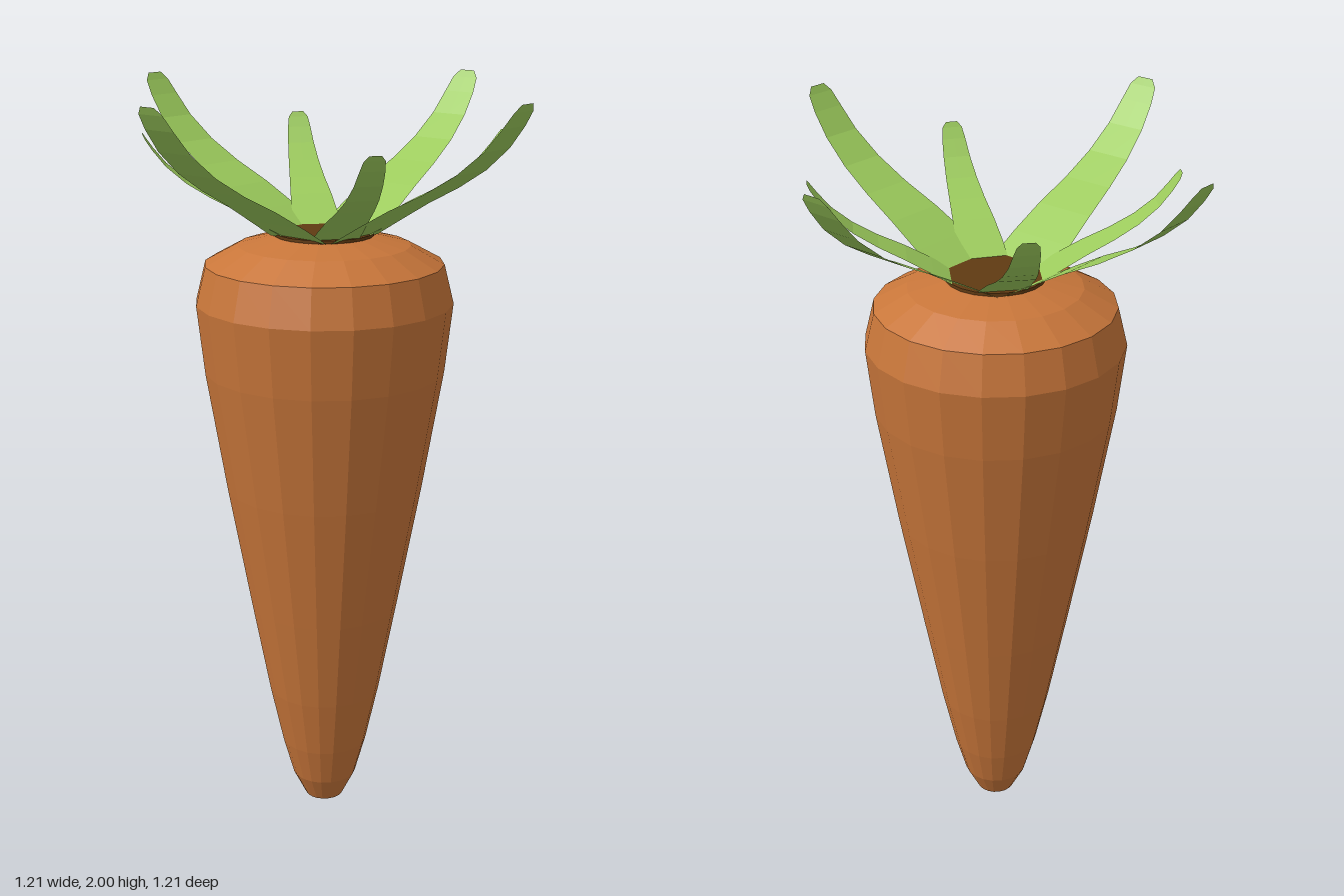
import * as THREE from 'three';

const V2 = (x, y) => new THREE.Vector2(x, y);

// Leaf profile: distance along the reach (0..1), height (0..1), half width (relative)
const LEAF = [
  [0, 0, 1], [0.16, 0.13, 0.97], [0.34, 0.27, 0.88], [0.53, 0.4, 0.76], [0.7, 0.54, 0.66],
  [0.84, 0.7, 0.57], [0.93, 0.85, 0.5], [0.98, 0.95, 0.42], [1, 1, 0.24],
];

// Thin curved blade growing along +z, made from rows of three points
function leafGeometry(reach, rise, halfWidth) {
  const start = 0.1, pos = [], index = [];
  LEAF.forEach(([t, h, w], i) => {
    for (let k = -1; k <= 1; k++) {
      pos.push(k * w * halfWidth, 1.632 + h * rise, start + t * (reach - start));
    }
    if (i === 0) return;
    for (let k = 0; k < 2; k++) {
      const a = (i - 1) * 3 + k, b = a + 3;
      index.push(a, b, a + 1, a + 1, b, b + 1);
    }
  });
  const g = new THREE.BufferGeometry();
  g.setAttribute('position', new THREE.Float32BufferAttribute(pos, 3));
  g.setIndex(index);
  g.computeVertexNormals();
  return g;
}

export function createModel() {
  const model = new THREE.Group();
  model.name = 'carrot';
  const orange = new THREE.MeshStandardMaterial({ color: 0xc8763a, flatShading: true });
  orange.name = 'carrot orange';
  const green = new THREE.MeshStandardMaterial({ color: 0x9ccb5c, flatShading: true, side: THREE.DoubleSide });
  green.name = 'leaf green';
  const brown = new THREE.MeshStandardMaterial({ color: 0x603a12, flatShading: true });
  brown.name = 'crown brown';

  // Tapered root with a rounded shoulder
  const profile = [
    V2(0, 0.005), V2(0.052, 0.035), V2(0.087, 0.105), V2(0.116, 0.21), V2(0.151, 0.37),
    V2(0.198, 0.62), V2(0.26, 0.96), V2(0.313, 1.28), V2(0.333, 1.46), V2(0.308, 1.56),
    V2(0.222, 1.607), V2(0.13, 1.63), V2(0, 1.63),
  ];
  const root = new THREE.Mesh(new THREE.LatheGeometry(profile, 20), orange);
  root.name = 'root';
  model.add(root);

  // Dark disc in the middle of the leaves
  const crown = new THREE.Mesh(new THREE.CylinderGeometry(0.127, 0.127, 0.008, 20), brown);
  crown.name = 'crown';
  crown.position.y = 1.635;
  model.add(crown);

  // Four long leaves on the axes, four short ones between them
  const longLeaf = leafGeometry(0.603, 0.368, 0.093);
  const shortLeaf = leafGeometry(0.452, 0.258, 0.062);
  const addLeaf = (name, geometry, angle) => {
    const leaf = new THREE.Mesh(geometry, green);
    leaf.name = name;
    leaf.rotation.y = angle;
    model.add(leaf);
  };
  for (let i = 0; i < 4; i++) addLeaf('longLeaf', longLeaf, i * Math.PI / 2 + 0.02);
  for (const [x, z] of [[0.37, 0.245], [-0.305, 0.32], [-0.345, -0.28], [0.3, -0.325]]) {
    addLeaf('shortLeaf', shortLeaf, Math.atan2(x, z));
  }
  return model;
}
